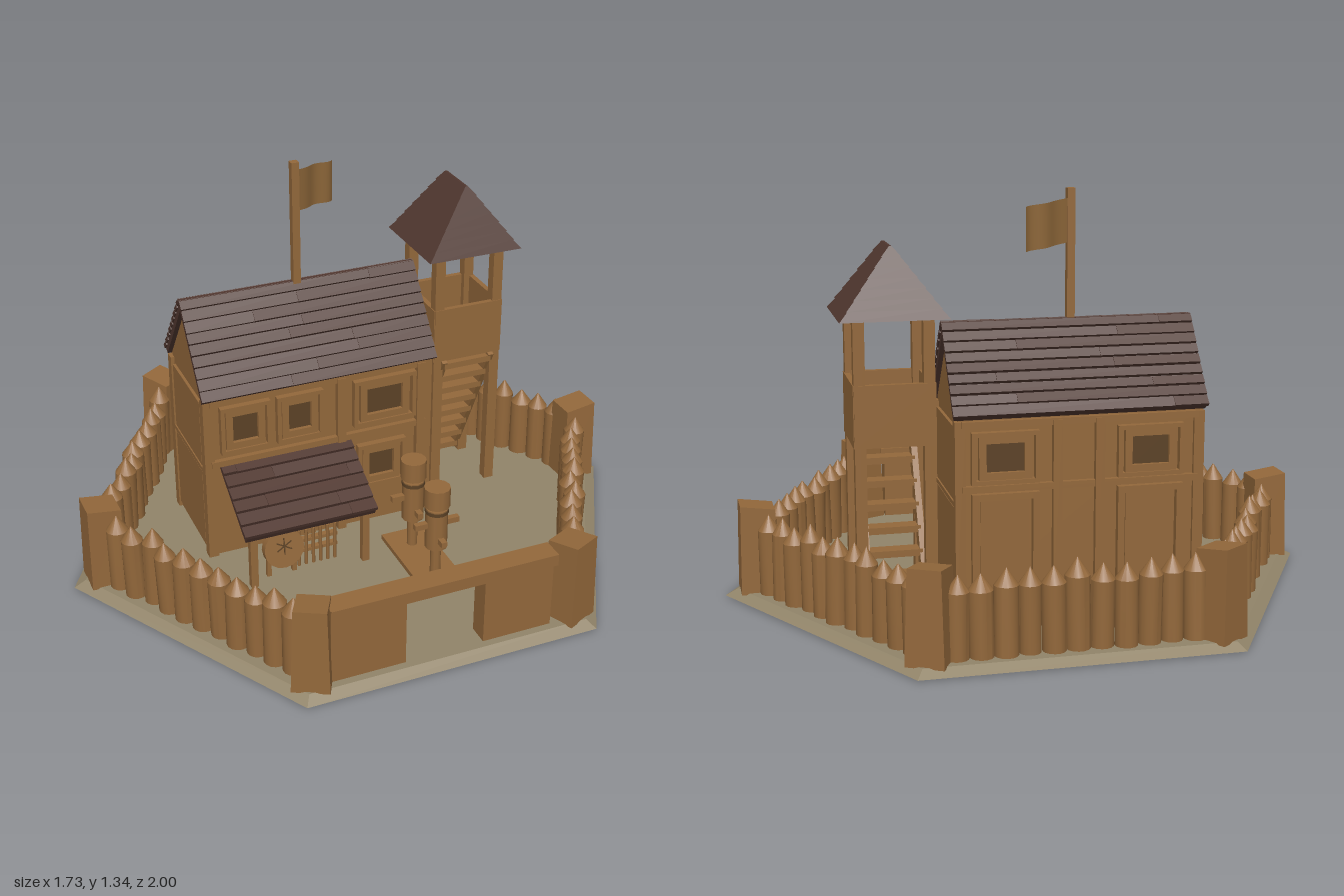
import * as THREE from 'three';
import { toCreasedNormals } from 'three/addons/utils/BufferGeometryUtils.js';

const paint = (name, color, extra = {}) => Object.assign(new THREE.MeshStandardMaterial({ color, ...extra }), { name });
const WOOD = paint('wood', 0x93683b);
const CLOTH = paint('flag cloth', 0x8f683a, { side: THREE.DoubleSide });
const ROOF = paint('roof planks', 0x50372f);
const DARK = paint('dark openings', 0x5c4226);
const EARTH = paint('earth', 0x918469);
const TURN = -Math.PI / 6; // house and tower are turned towards the gate

let seed = 7;
const rand = () => (seed = (seed * 16807) % 2147483647) / 2147483647;

// Unshared corners give faceted normals
function flat(geo) {
  const g = geo.index ? geo.toNonIndexed() : geo;
  g.computeVertexNormals();
  return g;
}
function add(parent, name, geo, mat, x = 0, y = 0, z = 0) {
  const m = new THREE.Mesh(geo, mat);
  m.name = name;
  m.position.set(x, y, z);
  parent.add(m);
  return m;
}
const box = (p, name, w, h, d, x, y, z, mat = WOOD) => add(p, name, new THREE.BoxGeometry(w, h, d), mat, x, y, z);
const rod = (p, name, r, h, x, y, z, n = 10) => add(p, name, new THREE.CylinderGeometry(r, r, h, n), WOOD, x, y, z);
function group(parent, name, x = 0, y = 0, z = 0, ry = 0) {
  const g = new THREE.Group();
  g.name = name;
  g.position.set(x, y, z);
  g.rotation.y = ry;
  parent.add(g);
  return g;
}

// Sloping roof panel: x runs along the ridge, z runs down the slope
function roofPanel(parent, name, length, slope, rows, y, z, tilt) {
  const g = group(parent, name, 0, y, z);
  g.rotation.x = tilt;
  box(g, 'roofBoard', length - 0.01, 0.022, slope - 0.005, 0, -0.012, slope / 2, ROOF);
  const step = slope / rows;
  for (let i = 0; i < rows; i++) {
    const cut = (rand() - 0.5) * length * 0.8;
    for (const [a, b] of [[-length / 2, cut], [cut, length / 2]]) {
      const plank = box(g, 'roofPlank', b - a - 0.001, 0.014, step - 0.002 - rand() * 0.005,
        (a + b) / 2, 0.003, (i + 0.5) * step, ROOF);
      plank.rotation.x = -0.08 - rand() * 0.1;
    }
  }
}

// Rectangular frame and double-framed window, both facing +z
function frame(p, name, w, h, t, d) {
  for (const s of [-1, 1]) {
    box(p, name, t, h, d, s * (w - t) / 2, 0, d / 2);
    box(p, name, w - 2 * t, t, d, 0, s * (h - t) / 2, d / 2);
  }
}
function windowAt(parent, x, y, w, h) {
  const g = group(parent, 'window', x, y, 0);
  box(g, 'windowPane', w * 0.6, h * 0.66, 0.004, 0, 0, 0.002, DARK);
  frame(g, 'windowSurround', w, h, 0.014, 0.024);
  frame(g, 'windowFrame', w * 0.78, h * 0.84, 0.024, 0.018);
}

// Thin timber outline showing under the ground plate
function footing(parent, x, z, w, d) {
  const g = group(parent, 'footing', x, 0.004, z);
  g.rotation.x = Math.PI / 2;
  frame(g, 'footingBeam', w, d, 0.012, 0.004);
}

function buildFence(root) {
  const R = 0.89, inner = R * Math.cos(Math.PI / 6);
  const pts = [[0.036, 0], [0.036, 0.225], [0.001, 0.278]].map(q => new THREE.Vector2(...q));
  const stakeShape = toCreasedNormals(new THREE.LatheGeometry(pts, 14), 0.5);
  for (let k = 0; k < 6; k++) {
    // Corner post, widening down and rising outwards
    const a = k * Math.PI / 3;
    const geo = new THREE.BoxGeometry(0.122, 0.29, 0.122);
    const p = geo.attributes.position;
    for (let i = 0; i < p.count; i++) {
      if (p.getY(i) > 0) p.setXYZ(i, p.getX(i) * 0.85, p.getY(i) + p.getZ(i) * 0.13, p.getZ(i) * 0.92);
    }
    add(root, 'cornerPost', flat(geo), WOOD, R * Math.sin(a), 0.165, R * Math.cos(a)).rotation.y = a + (rand() - 0.5) * 0.2;

    const m = a + Math.PI / 6;
    const side = group(root, k === 5 ? 'gate' : 'palisade', inner * Math.sin(m), 0, inner * Math.cos(m), m);
    if (k === 5) {
      // Gateway, slightly off centre
      for (const [x, w] of [[-0.273, 0.25], [0.24, 0.24]]) {
        box(side, 'gateWall', w, 0.27, 0.07, x, 0.155, 0);
        footing(side, x, 0, w, 0.07);
      }
      box(side, 'gateLintel', 0.77, 0.04, 0.076, -0.01, 0.27, 0);
      continue;
    }
    footing(side, 0, 0, 0.8, 0.07);
    for (let i = 0; i < 11; i++) {
      const stake = add(side, 'stake', stakeShape, WOOD, (i - 5) * 0.0735, 0.02, (rand() - 0.5) * 0.015);
      const s = 0.94 + rand() * 0.14;
      stake.scale.set(s, 0.93 + rand() * 0.1, s);
      stake.rotation.set((rand() - 0.5) * 0.05, rand() * 6, (rand() - 0.5) * 0.05);
    }
  }
}

function buildHouse(root) {
  const house = group(root, 'house', -0.03, 0, -0.195, TURN);
  const X = 0.4, Z = 0.18;
  footing(house, 0, 0, 0.82, 0.38);
  const shape = new THREE.Shape([[-Z, 0.02], [Z, 0.02], [Z, 0.64], [0, 0.875], [-Z, 0.64]].map(q => new THREE.Vector2(...q)));
  const walls = new THREE.ExtrudeGeometry(shape, { depth: 2 * X, bevelEnabled: false });
  add(house, 'walls', walls.translate(0, 0, -X).rotateY(Math.PI / 2), WOOD);
  for (const s of [-1, 1]) {
    roofPanel(group(house, 'roofSide', 0, 0, 0, s < 0 ? Math.PI : 0), 'roofSlope', 0.84, s < 0 ? 0.34 : 0.35, 9, 0.918, 0, 0.925);
    for (const t of [-1, 1]) box(house, 'cornerBeam', 0.035, 0.61, 0.035, s * (X - 0.005), 0.325, t * (Z - 0.005));
  }
  box(house, 'ridgeBeam', 0.835, 0.012, 0.02, 0, 0.914, 0, ROOF);

  // Front: three windows above the porch
  const front = group(house, 'frontWall', 0, 0, Z);
  for (const [x, w] of [[-0.268, 0.175], [-0.075, 0.165], [0.235, 0.23]]) windowAt(front, x, 0.512, w, 0.175);
  for (const x of [0.075, 0.37]) box(front, 'wallPost', 0.03, 0.6, 0.024, x, 0.325, 0.01);
  for (const y of [0.39, 0.62]) box(front, 'wallBeam', 0.78, 0.022, 0.02, 0, y, 0.008);
  box(front, 'frontDoor', 0.12, 0.25, 0.008, -0.08, 0.15, 0.004);
  windowAt(front, 0.225, 0.26, 0.18, 0.17);

  // Back: two windows above two boarded doors
  const back = group(house, 'backWall', 0, 0, -Z, Math.PI);
  for (const x of [-0.25, 0.23]) {
    windowAt(back, x, 0.51, 0.22, 0.17);
    const door = group(back, 'backDoor', x, 0.21, 0);
    frame(door, 'doorFrame', 0.22, 0.37, 0.022, 0.024);
    box(door, 'doorBoard', 0.16, 0.32, 0.006, 0, 0, 0.003);
  }
  for (const x of [-0.08, 0.06]) box(back, 'wallPost', 0.03, 0.6, 0.024, x, 0.325, 0.01);
  for (const y of [0.41, 0.62]) box(back, 'wallBeam', 0.78, 0.022, 0.02, 0, y, 0.008);

  // Gable ends: raised panels
  for (const s of [-1, 1]) {
    const end = group(house, 'gableWall', s * X, 0, 0, s * Math.PI / 2);
    for (const [y, h] of [[0.2, 0.29], [0.49, 0.24]]) box(end, 'gablePanel', 0.29, h, 0.01, 0, y, 0.005);
    box(end, 'gableBeam', 0.36, 0.015, 0.012, 0, 0.358, 0.006);
  }

  // Porch with target and weapon rack
  const porch = group(house, 'porch', -0.125, 0, 0);
  footing(porch, 0, 0.39, 0.44, 0.04);
  roofPanel(porch, 'porchRoof', 0.47, 0.29, 6, 0.38, Z, 0.54);
  for (const x of [-0.2, 0.2]) box(porch, 'porchPost', 0.025, 0.22, 0.025, x, 0.13, 0.4);
  box(porch, 'porchBeam', 0.44, 0.02, 0.02, 0, 0.235, 0.4);
  const target = group(porch, 'target', -0.09, 0.14, 0.385);
  target.rotation.x = -0.15;
  add(target, 'targetDisc', new THREE.CylinderGeometry(0.07, 0.07, 0.03, 16).rotateX(Math.PI / 2), WOOD);
  for (let i = 0; i < 3; i++) box(target, 'targetCrack', 0.004, 0.06, 0.003, 0, 0.01, 0.016, DARK).rotation.z = i * 1.05;
  for (const s of [-1, 1]) box(porch, 'targetLeg', 0.015, 0.14, 0.015, -0.09 + s * 0.045, 0.085, 0.365);
  const rack = group(porch, 'weaponRack', 0.045, 0, 0.34);
  for (const y of [0.08, 0.12]) box(rack, 'rackRail', 0.15, 0.012, 0.02, 0, y, 0);
  for (let i = 0; i < 6; i++) rod(rack, 'rackStaff', 0.006, 0.14, -0.065 + i * 0.026, 0.095, 0.01, 6);

  // Flag above the ridge, blowing towards +x
  const mast = group(root, 'flagMast', -0.04, 0, -0.197);
  box(mast, 'flagPole', 0.026, 0.5, 0.026, 0, 1.09, 0).rotation.y = TURN;
  const cloth = new THREE.PlaneGeometry(0.18, 0.143, 14, 3);
  const p = cloth.attributes.position;
  for (let i = 0; i < p.count; i++) {
    const t = p.getX(i) / 0.18 + 0.5;
    p.setZ(i, Math.sin(t * 9) * 0.012 * t);
    p.setY(i, p.getY(i) - 0.018 * t);
  }
  cloth.computeVertexNormals();
  add(mast, 'flag', cloth, CLOTH, 0.102, 1.236, 0);
}

function buildTower(root) {
  const tower = group(root, 'watchtower', 0.5, 0, 0.075, TURN);
  for (const x of [-0.11, 0.11]) for (const z of [-0.11, 0.11]) box(tower, 'towerPost', 0.036, 0.95, 0.036, x, 0.495, z);
  box(tower, 'towerFloor', 0.25, 0.025, 0.25, 0, 0.57, 0);
  for (let k = 0; k < 4; k++) {
    box(group(tower, 'railing', 0, 0, 0, k * Math.PI / 2), 'railingPanel', 0.256, 0.2, 0.018, 0, 0.655, 0.122);
  }
  // Hipped roof of overlapping courses
  const rows = 7, y0 = 0.96, rise = 0.22;
  const halfX = t => 0.165 * (1 - t) + 0.004, halfZ = t => 0.169 - 0.089 * t;
  const roof = group(tower, 'towerRoof');
  for (let i = 0; i < rows; i++) {
    const t0 = i / rows, t1 = (i + 1) / rows;
    const course = new THREE.BoxGeometry(2, rise / rows, 2);
    const p = course.attributes.position;
    for (let j = 0; j < p.count; j++) {
      const t = p.getY(j) > 0 ? t1 : t0, lap = p.getY(j) > 0 ? 0 : 0.004;
      p.setX(j, p.getX(j) * (halfX(t) + lap));
      p.setZ(j, p.getZ(j) * (halfZ(t) + lap));
    }
    add(roof, 'roofCourse', flat(course), ROOF, 0, y0 + rise * (i + 0.5) / rows, 0);
  }
  // Stairs climbing under the platform
  const stairs = group(tower, 'stairs');
  footing(stairs, 0, -0.1, 0.2, 0.1);
  for (let i = 0; i < 8; i++) {
    const t = (i + 0.5) / 8;
    box(stairs, 'tread', 0.18, 0.022, 0.055, 0, 0.02 + t * 0.55, -0.14 + t * 0.27);
  }
  for (const s of [-1, 1]) {
    box(stairs, 'stringer', 0.02, 0.58, 0.045, s * 0.09, 0.3, -0.005).rotation.x = Math.atan2(0.27, 0.55);
  }
}

function buildDummies(root) {
  const yard = group(root, 'trainingGround', -0.055, 0, 0.355, TURN);
  footing(yard, 0, 0, 0.155, 0.35);
  box(yard, 'trainingBoard', 0.155, 0.02, 0.35, 0, 0.032, 0);
  for (const z of [-0.09, 0.095]) {
    const dummy = group(yard, 'trainingDummy', 0, 0, z);
    rod(dummy, 'dummyPole', 0.018, 0.3, 0, 0.17, 0);
    rod(dummy, 'dummyBody', 0.038, 0.15, 0, 0.225, 0);
    rod(dummy, 'dummyHead', 0.044, 0.07, 0, 0.345, 0, 12);
    add(dummy, 'dummyBelt', new THREE.CylinderGeometry(0.04, 0.04, 0.012, 12), DARK, 0, 0.29, 0);
    box(dummy, 'dummyArms', 0.16, 0.02, 0.02, 0, 0.24, 0);
    box(dummy, 'dummyArms', 0.02, 0.02, 0.13, 0, 0.19, 0);
  }
}

export function createModel() {
  const root = new THREE.Group();
  root.name = 'fort';
  add(root, 'ground', flat(new THREE.CylinderGeometry(0.96, 1, 0.021, 6)), EARTH, 0, 0.0145, 0);
  buildFence(root);
  buildHouse(root);
  buildTower(root);
  buildDummies(root);
  return root;
}
